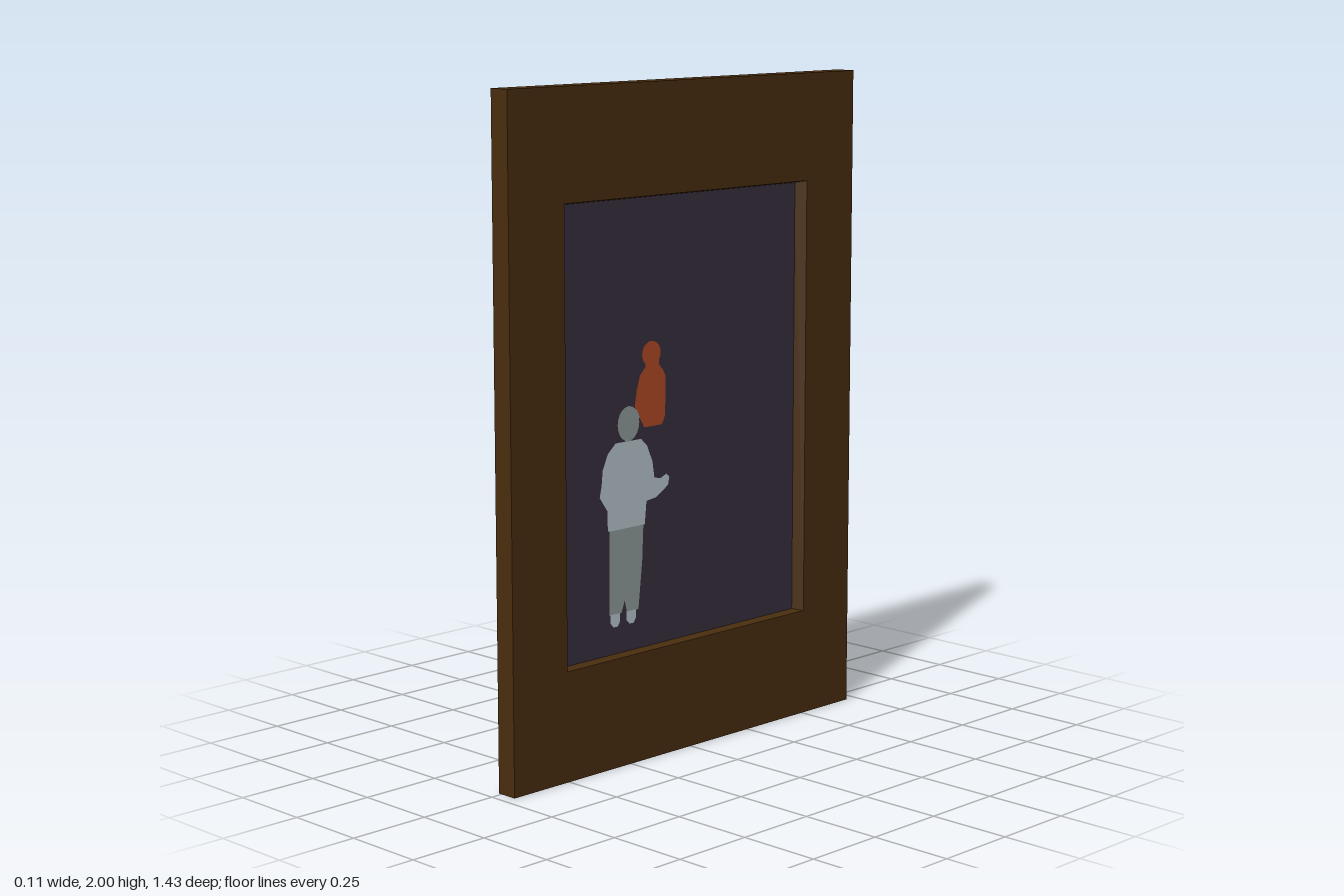
import * as THREE from 'three';

const mat = (name, color) => {
  const m = new THREE.MeshStandardMaterial({ color });
  m.name = name;
  return m;
};

// Rectangular section in the plane of constant x, counter-clockwise seen from +x
const ring = (x, y0, y1, z0, z1) => [[x, y0, z1], [x, y0, z0], [x, y1, z0], [x, y1, z1]];

// Flat-shaded skin joining successive sections, closed at the back
function loft(rings) {
  const pos = [];
  const quad = (a, b, c, d) => pos.push(...a, ...b, ...c, ...a, ...c, ...d);
  const [p, q, r, s] = rings[0];
  quad(s, r, q, p);
  for (let k = 0; k < rings.length - 1; k++) {
    for (let i = 0; i < 4; i++) {
      const j = (i + 1) % 4;
      quad(rings[k][i], rings[k][j], rings[k + 1][j], rings[k + 1][i]);
    }
  }
  const g = new THREE.BufferGeometry();
  g.setAttribute('position', new THREE.Float32BufferAttribute(pos, 3));
  g.computeVertexNormals();
  return g;
}

export function createModel() {
  const group = new THREE.Group();
  const wood = mat('dark brown wood', 0x4a2e0f);
  const canvas = mat('dusky purple', 0x392f3f);
  const orange = mat('burnt orange', 0xb44a26);
  const pale = mat('pale blue grey', 0xb9c8d0);
  const grey = mat('mid grey', 0x929d9d);

  const add = (name, geometry, material) => {
    const mesh = new THREE.Mesh(geometry, material);
    mesh.name = name;
    group.add(mesh);
    return mesh;
  };

  // Frame: raised back panel, flat board, and recess around the picture
  const floorX = 0.025;
  const floor = ring(floorX, 0.335, 1.668, -0.483, 0.503);
  add('frame', loft([
    ring(-0.055, 0.375, 1.63, -0.473, 0.473),
    ring(-0.011, 0.355, 1.65, -0.486, 0.486),
    ring(-0.011, 0, 2, -0.713, 0.713),
    ring(0.055, 0, 2, -0.713, 0.713),
    ring(0.055, 0.33, 1.674, -0.504, 0.504),
    floor,
  ]), wood);

  // Flat painted shape, drawn as seen from +x (u = -z, v = y)
  const paint = (name, shape, material, layer) => {
    const mesh = add(name, new THREE.ShapeGeometry(shape, 10), material);
    mesh.rotation.y = Math.PI / 2;
    mesh.position.x = floorX + layer * 0.0015;
  };
  const outline = pts => new THREE.Shape(pts.map(([u, v]) => new THREE.Vector2(u, v)));
  const oval = (u, v, ru, rv) => new THREE.Shape().absellipse(u, v, ru, rv, 0, Math.PI * 2);

  paint('canvas', outline(floor.map(([, y, z]) => [-z, y])), canvas, 0);

  // Distant figure
  paint('farBody', outline([
    [-0.165, 0.995], [-0.092, 0.995], [-0.079, 1.02], [-0.076, 1.135], [-0.086, 1.155],
    [-0.104, 1.175], [-0.104, 1.2], [-0.16, 1.2], [-0.16, 1.172], [-0.182, 1.15],
    [-0.195, 1.11], [-0.204, 1.06],
  ]), orange, 1);
  paint('farHead', oval(-0.135, 1.21, 0.038, 0.037), orange, 1);

  // Near figure
  paint('trousers', outline([
    [-0.31, 0.706], [-0.171, 0.706], [-0.176, 0.6], [-0.192, 0.455], [-0.24, 0.455],
    [-0.248, 0.49], [-0.262, 0.455], [-0.31, 0.455],
  ]), grey, 2);
  for (const u of [-0.286, -0.221]) {
    paint('shoe', outline([
      [u - 0.02, 0.456], [u - 0.02, 0.43], [u - 0.008, 0.417], [u + 0.009, 0.417],
      [u + 0.019, 0.432], [u + 0.019, 0.456],
    ]), pale, 2);
  }
  paint('shirtAndArm', outline([
    [-0.316, 0.706], [-0.165, 0.706], [-0.158, 0.775], [-0.118, 0.78], [-0.068, 0.81],
    [-0.063, 0.835], [-0.075, 0.845], [-0.1, 0.835], [-0.125, 0.84], [-0.133, 0.89],
    [-0.155, 0.94], [-0.18, 0.963], [-0.283, 0.963], [-0.315, 0.935], [-0.335, 0.89],
    [-0.34, 0.845], [-0.348, 0.81], [-0.316, 0.765],
  ]), pale, 2);
  paint('head', oval(-0.232, 1.015, 0.046, 0.053), grey, 3);

  return group;
}
